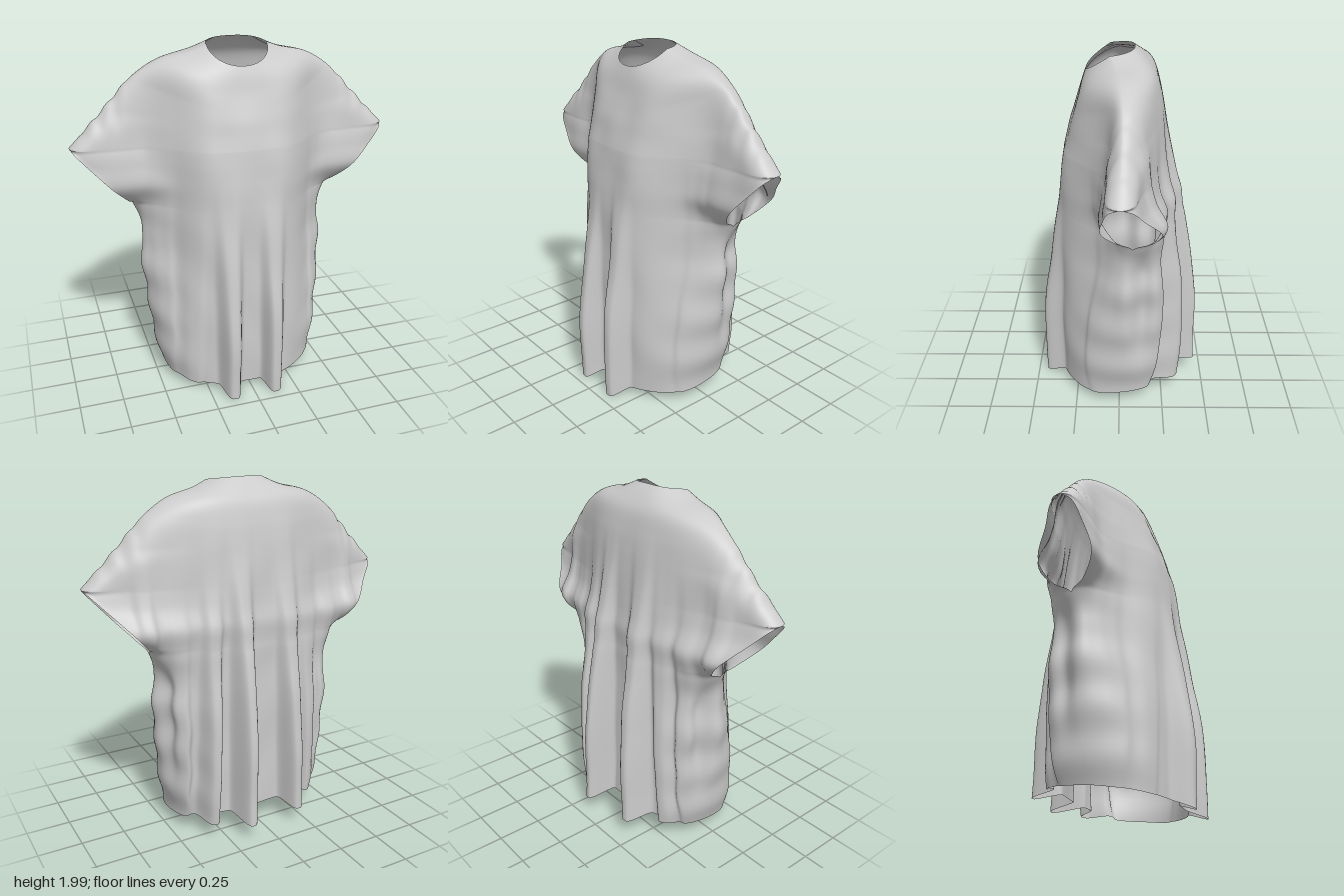
import * as THREE from 'three';
import { mergeVertices } from 'three/addons/utils/BufferGeometryUtils.js';

// Cross-section rows:
// half width, side y, seam z, front z, front y, back z, back y, sleeve opening half depth,
// flank shape (0 = rounded body, 1 = thin sleeve or side fin)
const UPPER = [ // neck to sleeve tip
  [0.165, 1.98, 0.05, 0.18, 1.885, -0.08, 2.0, 0, 0],
  [0.26, 1.945, 0.02, 0.2, 1.83, -0.14, 1.95, 0, 0.3],
  [0.42, 1.905, -0.01, 0.222, 1.75, -0.195, 1.88, 0, 0.7],
  [0.56, 1.82, -0.02, 0.245, 1.68, -0.225, 1.78, 0, 1],
  [0.68, 1.7, -0.02, 0.268, 1.61, -0.24, 1.69, 0, 1],
  [0.79, 1.585, -0.015, 0.285, 1.54, -0.25, 1.59, 0, 1],
  [0.908, 1.468, -0.01, 0.305, 1.465, -0.26, 1.47, 0, 1],
];
const LOWER = [ // sleeve tip to hem
  UPPER[6],
  [0.88, 1.437, -0.012, 0.31, 1.435, -0.262, 1.44, 0.06, 1],
  [0.81, 1.36, -0.025, 0.32, 1.36, -0.267, 1.365, 0.1, 1],
  [0.705, 1.245, -0.06, 0.33, 1.25, -0.272, 1.25, 0.15, 1],
  [0.615, 1.145, -0.075, 0.337, 1.15, -0.277, 1.15, 0.09, 1],
  [0.575, 1.09, -0.07, 0.34, 1.09, -0.28, 1.09, 0, 1],
  [0.545, 0.98, -0.06, 0.343, 0.98, -0.28, 0.98, 0, 0.95],
  [0.56, 0.78, -0.06, 0.345, 0.77, -0.285, 0.8, 0, 0.75],
  [0.535, 0.55, -0.04, 0.35, 0.53, -0.285, 0.58, 0, 0.45],
  [0.505, 0.3, -0.02, 0.35, 0.28, -0.285, 0.34, 0, 0.15],
  [0.465, 0.085, 0, 0.345, 0.045, -0.29, 0.14, 0, 0],
];

// Hanging folds: x at top, x at hem, top y, depth, half width
const FRONT_FOLDS = [
  [-0.13, -0.13, 1.35, 0.11, 0.05], [0.12, 0.125, 1.35, 0.11, 0.05],
  [-0.28, -0.34, 1.6, 0.015, 0.045], [-0.44, -0.47, 1.85, 0.025, 0.045],
  [0.48, 0.47, 1.85, 0.025, 0.045],
];
const BACK_FOLDS = [
  [-0.15, -0.19, 1.85, 0.14, 0.05], [0.11, 0.14, 1.85, 0.17, 0.045],
  [0.27, 0.33, 1.8, 0.11, 0.04], [-0.3, -0.36, 1.8, 0.05, 0.045],
  [0.47, 0.46, 1.75, 0.06, 0.045], [-0.47, -0.46, 1.75, 0.06, 0.045],
  [0.63, 0.63, 1.75, 0.1, 0.035], [-0.65, -0.65, 1.75, 0.1, 0.035],
];

const { smoothstep, lerp } = THREE.MathUtils;
const makeSplines = (rows) => rows[0].map((_, c) =>
  new THREE.SplineCurve(rows.map((row, i) => new THREE.Vector2(i, row[c]))));
const upperSplines = makeSplines(UPPER), lowerSplines = makeSplines(LOWER);
const TIP = 0.4; // share of the rows above the sleeve tip

function foldDepth(folds, x, y) {
  let sum = 0;
  for (const [xTop, xHem, top, depth, width] of folds) {
    const drop = Math.max(0, (top - y) / top);
    const d = (x - lerp(xTop, xHem, drop)) / (width * (1.35 - 0.35 * drop));
    sum += depth * smoothstep(drop, 0, 0.8) * Math.exp(-(d ** 4));
  }
  return sum;
}

// Point on the front (face = 1) or back (face = -1) cloth panel
function clothPoint(t, s, face) {
  const row = t <= TIP
    ? upperSplines.map((c) => c.getPoint(t / TIP).y)
    : lowerSplines.map((c) => c.getPoint((t - TIP) / (1 - TIP)).y);
  const [w, ySide, zSeam, zF, yF, zB, yB, rawGap, rawK] = row;
  const gap = Math.max(0, rawGap), k = THREE.MathUtils.clamp(rawK, 0, 1);
  const u = Math.sin(s * Math.PI / 2), a = Math.min(1, Math.abs(u));
  let x = w * u;
  const ax = Math.abs(x);

  // Rounded body section blended with a thin sleeve section, blunt at the cuff
  const body = Math.sqrt(1 - a ** (face > 0 ? 2.5 : 3));
  const cuff = smoothstep(t, 0.28, TIP) * (1 - smoothstep(t, 0.62, 0.8));
  const closing = Math.sqrt(1 - a ** (6 + 12 * cuff));
  const profile = face > 0
    ? 0.25 + 0.75 * Math.exp(-((ax / 0.39) ** 4))
    : 0.32 + 0.23 * (1 - smoothstep(ax, 0.55, 0.85)) + 0.45 * Math.exp(-((ax / 0.42) ** 3));
  const thick = Math.abs((face > 0 ? zF : zB) - zSeam) * lerp(body, closing * profile, k);
  let y = lerp(ySide, face > 0 ? yF : yB, Math.pow(Math.max(0, 1 - a * a), 0.5 + 0.5 * k));

  const fold = foldDepth(face > 0 ? FRONT_FOLDS : BACK_FOLDS, x, y) * Math.sqrt(1 - a ** 6);
  const ripple = 0.004 * closing * Math.sin(x * 23 + y * 5) * Math.sin(y * 9 - x * 7) * smoothstep(1.9 - y, 0, 0.4);
  const z = zSeam + face * ((thick ** 4 + gap ** 4) ** 0.25 + fold + ripple);
  y -= fold * (face > 0 ? 0.36 : 0.18) * smoothstep(0.6 - y, 0, 0.5);

  // Slack cloth tucked in under the arms, and a wavy side edge
  const side = Math.sign(u) * smoothstep(a, 0.5, 1);
  const tuck = smoothstep(1.08 - y, 0, 0.2) * smoothstep(y, 0.2, 0.75);
  x -= side * 0.05 * tuck * Math.exp(-(((z + 0.12) / 0.06) ** 2));
  x += side * 0.007 * Math.sin(y * 24 + (u > 0 ? 1.2 : 3)) * smoothstep(1.0 - y, 0, 0.2);
  // Small puckers along the top of the sleeves
  y += Math.abs(side) * 0.007 * Math.sin(x * 70) * smoothstep(ax, 0.55, 0.65) * smoothstep(y, 1.48, 1.6);
  return [x, y, z];
}

function clothGeometry(rows, cols) {
  const positions = [], index = [];
  for (const face of [1, -1]) {
    const base = positions.length / 3;
    for (let i = 0; i <= rows; i++)
      for (let j = 0; j <= cols; j++)
        positions.push(...clothPoint(i / rows, (2 * j) / cols - 1, face));
    for (let i = 0; i < rows; i++)
      for (let j = 0; j < cols; j++) {
        const a = base + i * (cols + 1) + j, b = a + cols + 1;
        if (face > 0) index.push(a, b, b + 1, a, b + 1, a + 1);
        else index.push(a, b + 1, b, a, a + 1, b + 1);
      }
  }
  let geometry = new THREE.BufferGeometry();
  geometry.setAttribute('position', new THREE.Float32BufferAttribute(positions, 3));
  geometry.setIndex(index);
  // Sew the panels together along shoulders and sides
  geometry = mergeVertices(geometry, 1e-4);
  geometry.computeVertexNormals();
  return geometry;
}

export function createModel() {
  const group = new THREE.Group();
  group.name = 'drapedShirt';
  const cloth = new THREE.MeshStandardMaterial({ color: 0xcccccc, side: THREE.DoubleSide });
  const shirt = new THREE.Mesh(clothGeometry(120, 180), cloth);
  shirt.name = 'shirtCloth';
  group.add(shirt);
  return group;
}
